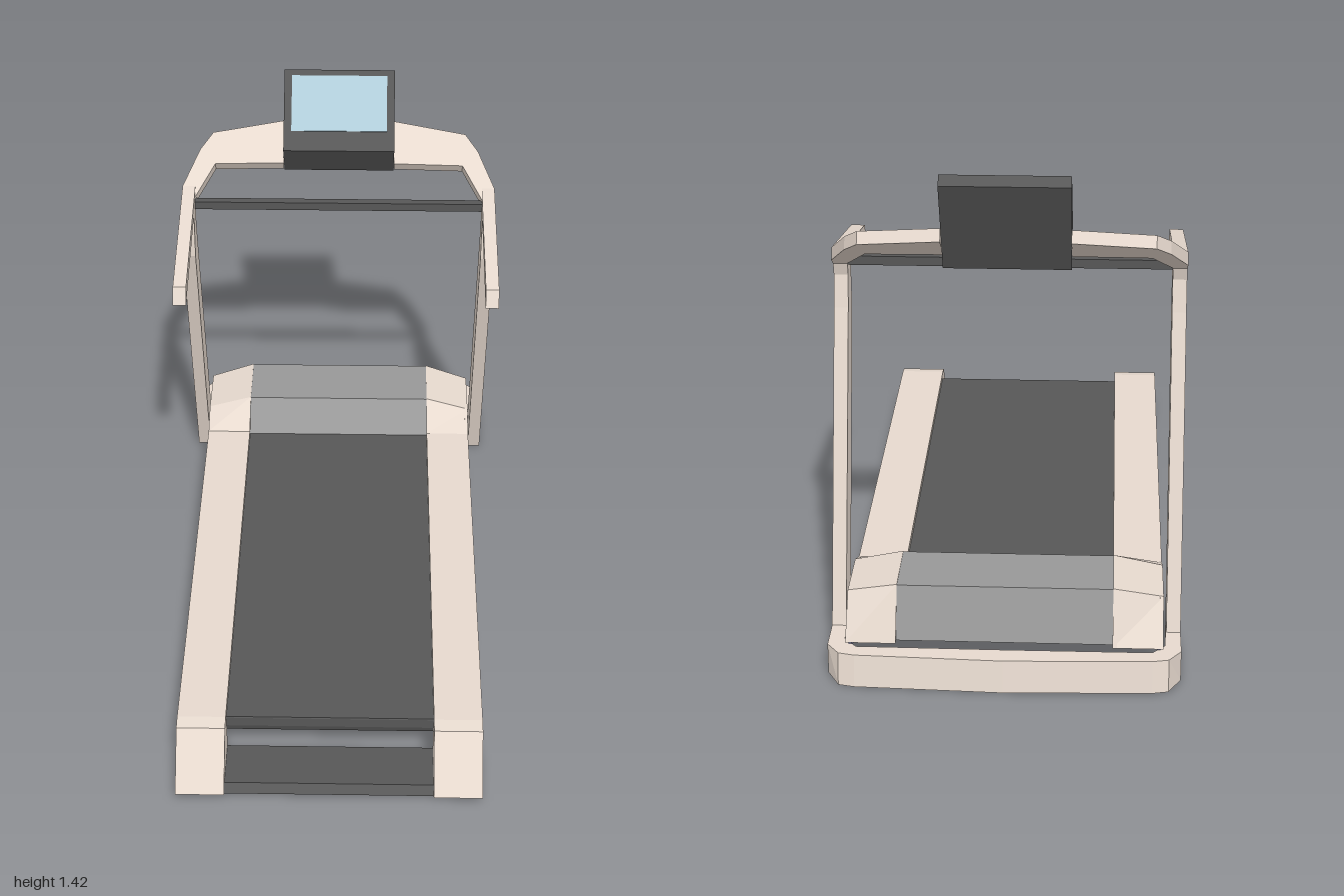
import * as THREE from 'three';

const mat = (name, color) => {
  const m = new THREE.MeshStandardMaterial({ color });
  m.name = name;
  return m;
};

export function createModel() {
  const model = new THREE.Group();
  model.name = 'treadmill';
  const beige = mat('beige frame', 0xe6d9ce);
  const dark = mat('dark rubber', 0x575757);
  const grey = mat('grey hood', 0x989898);
  const blue = mat('blue trim', 0x757bb0);
  const glass = mat('screen glass', 0xb0ccd8);

  const add = (name, geometry, material) => {
    const mesh = new THREE.Mesh(geometry, material);
    mesh.name = name;
    model.add(mesh);
    return mesh;
  };
  const shapeOf = (pts) => new THREE.Shape(pts.map(([a, b]) => new THREE.Vector2(a, b)));
  const extrude = (pts, depth) =>
    new THREE.ExtrudeGeometry(shapeOf(pts), { depth, bevelEnabled: false });

  // Side profile of [z, y] points, extruded from x0 to x1
  const slab = (pts, x0, x1) => {
    const lo = Math.min(x0, x1), hi = Math.max(x0, x1);
    return extrude(pts, hi - lo).rotateY(-Math.PI / 2).translate(hi, 0, 0);
  };
  // Box given by its limits
  const box = (x0, x1, y0, y1, z0, z1) =>
    new THREE.BoxGeometry(Math.abs(x1 - x0), y1 - y0, z1 - z0)
      .translate((x0 + x1) / 2, (y0 + y1) / 2, (z0 + z1) / 2);
  // Move every vertex by a rule
  const reshape = (geometry, rule) => {
    const p = geometry.attributes.position, v = new THREE.Vector3();
    for (let i = 0; i < p.count; i++) {
      rule(v.fromBufferAttribute(p, i));
      p.setXYZ(i, v.x, v.y, v.z);
    }
    geometry.computeVertexNormals();
    return geometry;
  };

  // Running belt with folded ends
  add('runningBelt', slab([
    [0.815, 0.105], [0.822, 0.125], [0.822, 0.155], [0.82, 0.158],
    [-0.85, 0.158], [-0.86, 0.13], [-0.84, 0.105],
  ], -0.3, 0.3), dark);

  // Low bar joining the front feet
  add('frontBar', slab([
    [0.82, 0.022], [0.993, 0.022], [0.97, 0.043], [0.82, 0.043],
  ], -0.3, 0.3), dark);

  // Motor hood between the rails
  add('motorHood', slab([
    [-0.56, 0.155], [-0.65, 0.246], [-0.85, 0.246], [-0.908, 0.105], [-0.87, 0.105], [-0.86, 0.155],
  ], -0.3, 0.3), grey);

  // Hollow side rails: top skin and two walls, raised end cap sloping outward at the back
  const railTop = [
    [1, 0.022], [0.88, 0.168], [0.84, 0.175], [-0.55, 0.175], [-0.65, 0.248],
    [-0.85, 0.248], [-0.918, 0.1],
  ];
  const skinProfile = [
    ...railTop, [-0.903, 0.1], [-0.842, 0.236], [-0.645, 0.236], [-0.545, 0.163],
    [0.836, 0.163], [0.873, 0.157], [0.984, 0.022],
  ];
  const wallProfile = [...railTop, [0.81, 0.1], [0.81, 0.022]];
  const slopeCap = (v) => {
    const t = (Math.abs(v.x) - 0.3) / 0.14;
    if (v.y < 0.2) return;
    v.y -= 0.034 * t;
    v.z += (v.z < -0.8 ? 0.025 : 0.01) * t;
  };

  // Upright and handle in one side profile
  const uprightProfile = [
    [-0.72, 0], [-0.455, 0.93], [-0.46, 1.075], [-0.075, 0.99], [-0.1, 1.04],
    [-0.55, 1.13], [-0.525, 1.04], [-0.545, 0.95], [-0.805, 0.09], [-0.83, 0],
  ];

  // Half of the bent console support, [x, distance up the slope]
  const supportOutline = [
    [0.49, -0.04], [0.49, 0], [0.44, 0.13], [0.4, 0.192], [0.174, 0.237],
    [0.174, 0.085], [0.39, 0.08], [0.45, -0.04],
  ];

  for (const s of [1, -1]) {
    const side = s > 0 ? 'left' : 'right';
    const railPart = (name, profile, x0, x1) =>
      add(side + name, reshape(slab(profile, s * x0, s * x1), slopeCap), beige);
    railPart('RailTop', skinProfile, 0.3, 0.44);
    railPart('RailOuterWall', wallProfile, 0.43, 0.44);
    railPart('RailInnerWall', wallProfile, 0.3, 0.312);
    add(side + 'Trim', box(s * 0.424, s * 0.432, 0.069, 0.105, -0.905, 0.81), blue);
    add(side + 'UprightAndHandle', slab(uprightProfile, s * 0.45, s * 0.49), beige);
    const support = extrude(supportOutline.map(([x, d]) => [s * x, d]), 0.037)
      .translate(0, 0, -0.037).rotateX(-1.0).translate(0, 1.13, -0.55);
    add(side + 'ConsoleSupport', support, beige);
  }

  // Base: U-shaped bar around the back, leaning outward towards the floor
  const outer = [[0.49, -0.75], [0.49, -0.91], [0.455, -0.958], [0.41, -0.968], [0, -0.983]];
  const inner = [[0, -0.922], [0.41, -0.92], [0.445, -0.88], [0.45, -0.75]];
  const mirror = (pts) => pts.filter(([x]) => x > 0).map(([x, z]) => [-x, z]).reverse();
  const plan = [...outer, ...mirror(outer), ...mirror(inner), ...inner];
  const base = extrude(plan.map(([x, z]) => [x, -z]), 0.09).rotateX(-Math.PI / 2);
  add('baseBar', reshape(base, (v) => {
    if (v.z < -0.94) v.z -= 0.017 * (1 - v.y / 0.09);
  }), beige);

  // Grip bar between the uprights
  add('crossBar', box(-0.452, 0.452, 1.072, 1.098, -0.532, -0.506), dark);

  // Wedge-shaped console
  add('console', slab([
    [-0.597, 1.233], [-0.787, 1.419], [-0.818, 1.397], [-0.678, 1.12],
  ], -0.174, 0.174), dark);

  // Screen plate on the sloping console face
  const slope = Math.atan2(0.186, 0.19);
  const screen = new THREE.BoxGeometry(0.3, 0.182, 0.006);
  screen.rotateX(slope - Math.PI / 2).translate(0, 1.342, -0.707);
  add('screen', screen, glass);

  return model;
}
